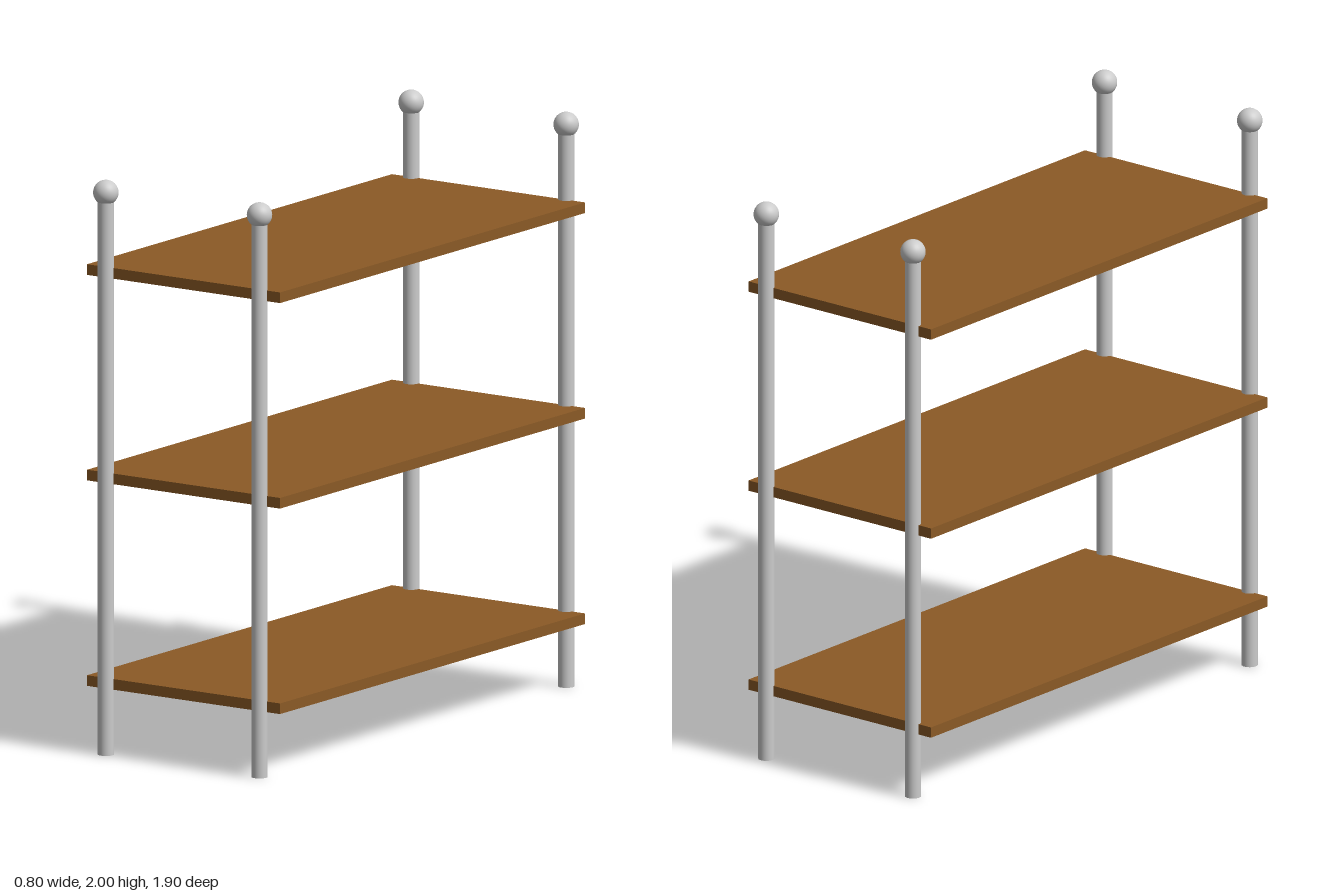
import * as THREE from 'three';

export function createModel() {
  const group = new THREE.Group();
  const metal = new THREE.MeshStandardMaterial({ color: 0xcccccc });
  const wood = new THREE.MeshStandardMaterial({ color: 0x8b5a26 });

  const add = (name, geometry, material, x, y, z) => {
    const mesh = new THREE.Mesh(geometry, material);
    mesh.name = name;
    mesh.position.set(x, y, z);
    group.add(mesh);
  };

  // Three wooden shelves
  const shelf = new THREE.BoxGeometry(0.804, 0.037, 1.804);
  ['lowerShelf', 'middleShelf', 'upperShelf'].forEach((name, i) =>
    add(name, shelf, wood, 0, 0.246 + i * 0.7155, 0));

  // Four round posts, each topped with a ball
  const postHeight = 1.95;
  const post = new THREE.CylinderGeometry(0.028, 0.028, postHeight, 32);
  const ball = new THREE.SphereGeometry(0.0435, 32, 20);
  const corners = [
    ['frontLeft', 0.32, 0.907],
    ['frontRight', -0.32, 0.907],
    ['backLeft', 0.32, -0.907],
    ['backRight', -0.32, -0.899],
  ];
  for (const [corner, x, z] of corners) {
    add(corner + 'Post', post, metal, x, postHeight / 2, z);
    add(corner + 'Finial', ball, metal, x, 1.9565, z);
  }
  return group;
}
